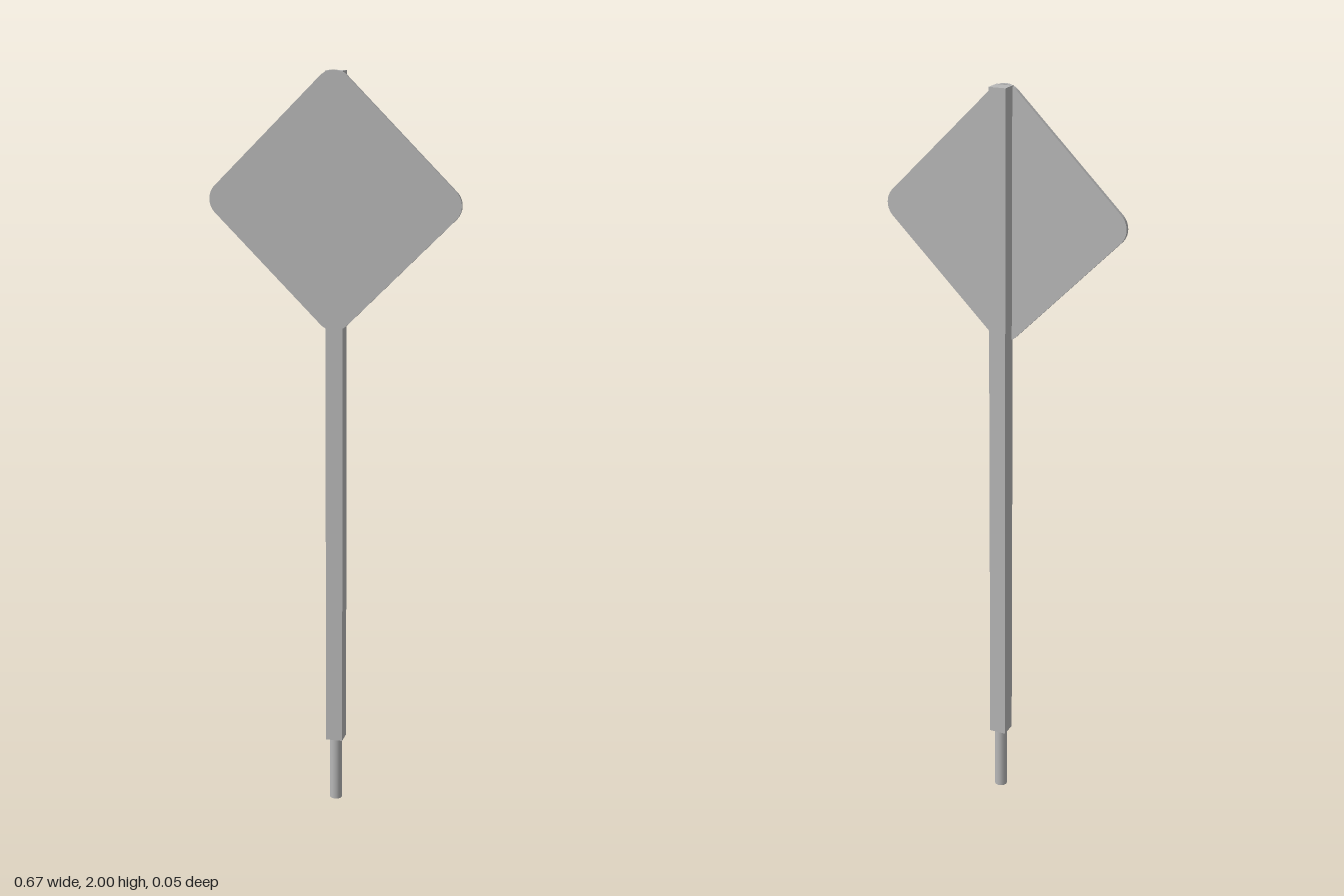
import * as THREE from 'three';

export function createModel() {
  const group = new THREE.Group();
  const grey = new THREE.MeshStandardMaterial({ color: 0xb8b8b8 });
  grey.name = 'plain grey';

  const add = (name, geometry, x, y, z) => {
    const mesh = new THREE.Mesh(geometry, grey);
    mesh.name = name;
    mesh.position.set(x, y, z);
    group.add(mesh);
    return mesh;
  };

  const postZ = -0.0025;

  // square post
  add('post', new THREE.BoxGeometry(0.046, 1.82, 0.046), 0, 1.09, postZ);

  // round ground pin below the post
  add('groundPin', new THREE.CylinderGeometry(0.017, 0.017, 0.18, 16), 0, 0.09, postZ);

  // square plate with rounded corners, stood on one corner
  const half = 0.25, radius = 0.05, inner = half - radius;
  const outline = new THREE.Shape();
  for (let i = 0; i < 4; i++) {
    const start = i * Math.PI / 2;
    const cx = inner * (i === 0 || i === 3 ? 1 : -1);
    const cy = inner * (i < 2 ? 1 : -1);
    outline.absarc(cx, cy, radius, start, start + Math.PI / 2, false);
  }
  outline.closePath();
  const plate = new THREE.ExtrudeGeometry(outline, { depth: 0.011, bevelEnabled: false, curveSegments: 8 });
  plate.rotateZ(Math.PI / 4);
  add('signPlate', plate, 0, 1.67, 0.0145);

  return group;
}
